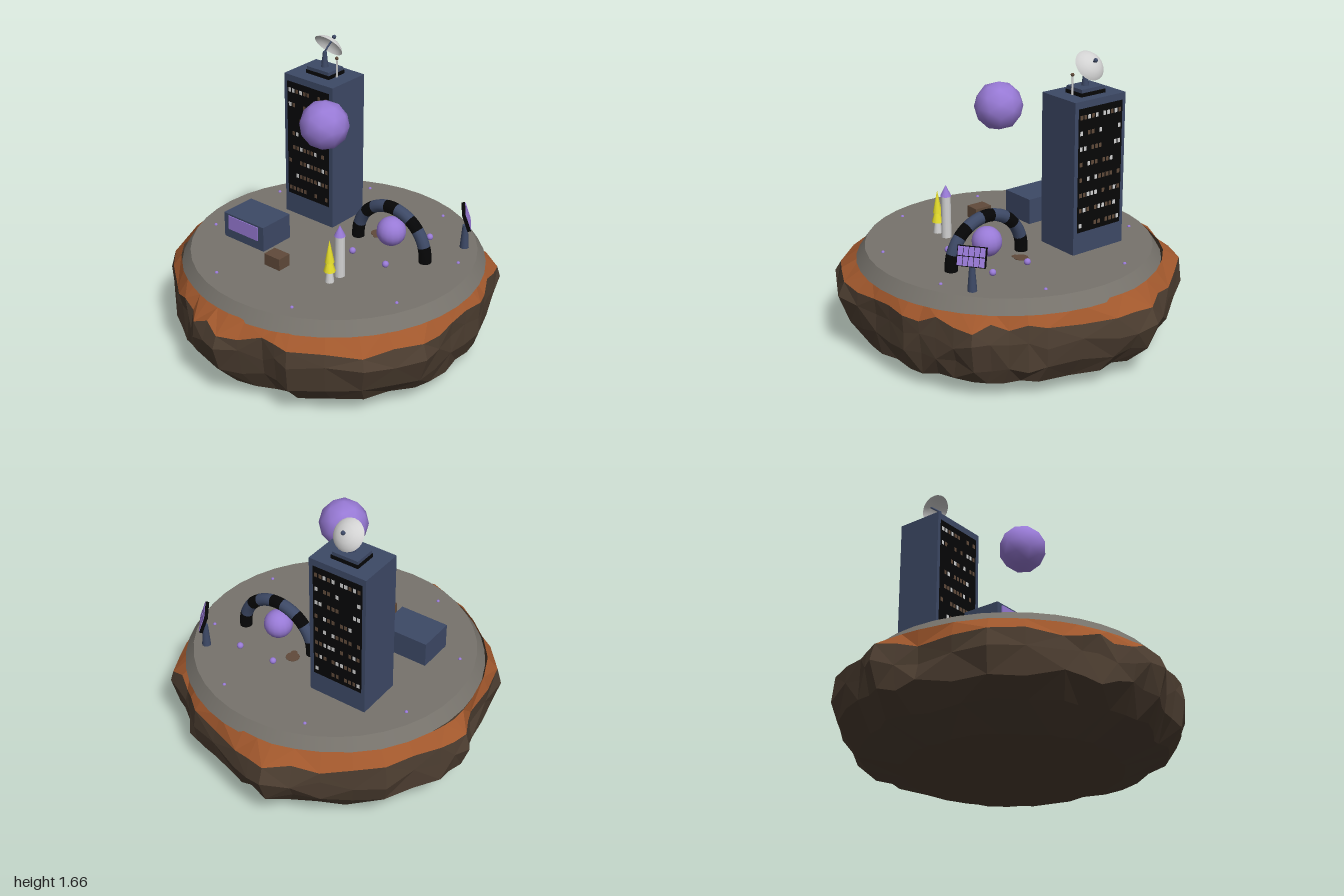
import * as THREE from 'three';
import { mergeVertices } from 'three/addons/utils/BufferGeometryUtils.js';

const mat = (name, color, extra = {}) => {
  const m = new THREE.MeshStandardMaterial({ color, ...extra });
  m.name = name;
  return m;
};

export function createModel() {
  const rock = mat('rock', 0x4d3e31, { flatShading: true, side: THREE.DoubleSide });
  const clay = mat('clay', 0xa0572c, { flatShading: true, side: THREE.DoubleSide });
  const stone = mat('stone', 0x77736c);
  const navy = mat('navy', 0x3d4966);
  const black = mat('black', 0x060607);
  const purple = mat('purple', 0x987ad6);
  const light = mat('lightGrey', 0xd2d2d2, { side: THREE.DoubleSide });
  const yellow = mat('yellow', 0xe6de2c);
  const brown = mat('brown', 0x604a3a);

  const model = new THREE.Group();
  let seed = 7;
  const rnd = () => (seed = (seed * 16807) % 2147483647) / 2147483647;
  const jitter = (amount) => (rnd() - .5) * 2 * amount;

  const add = (name, geo, material, x = 0, y = 0, z = 0, parent = model) => {
    const m = new THREE.Mesh(geo, material);
    m.name = name;
    m.position.set(x, y, z);
    parent.add(m);
    return m;
  };
  const box = (name, material, x0, x1, y0, y1, z0, z1, parent) =>
    add(name, new THREE.BoxGeometry(x1 - x0, y1 - y0, z1 - z0), material,
      (x0 + x1) / 2, (y0 + y1) / 2, (z0 + z1) / 2, parent);
  const post = (name, material, rTop, rBottom, x, y0, y1, z, sides = 12, parent = model) =>
    add(name, new THREE.CylinderGeometry(rTop, rBottom, y1 - y0, sides), material, x, (y0 + y1) / 2, z, parent);
  const ball = (name, material, r, x, y, z, parent) =>
    add(name, new THREE.SphereGeometry(r, 16, 12), material, x, y, z, parent);
  const orb = (name, material, r, x, y, z) => {
    const g = new THREE.IcosahedronGeometry(r, 1);
    g.deleteAttribute('uv');
    return add(name, mergeVertices(g), material, x, y, z);
  };

  // Floating rock: jittered rings following a rough outline (x, z)
  const corners = [
    [.89, .05], [.95, .34], [.78, .65], [.43, .86], [.26, .85], [.03, .99], [-.17, .94], [-.32, .82],
    [-.5, .74], [-.8, .49], [-.83, .08], [-.96, -.13], [-.87, -.28], [-.74, -.61], [-.45, -.81],
    [-.19, -1], [.03, -.94], [.41, -.82], [.57, -.7], [.75, -.62], [.82, -.4], [.89, -.21],
  ];
  const outline = corners.flatMap(([x, z], i) => {
    const [x2, z2] = corners[(i + 1) % corners.length];
    return [[x, z], [(x + x2) / 2, (z + z2) / 2]];
  });
  // y, base radius, share of outline, radial jitter, height jitter
  const rings = [
    [0, .555, .1, .02, 0], [.09, .76, .35, .02, .015], [.2, .88, .55, .02, .025],
    [.33, 1, 1, 0, .03], [.43, .89, .65, .015, .025], [.5, .84, .1, 0, 0],
  ].map(([y, base, share, jr, jy]) => outline.map(([x, z]) => {
    const r = Math.hypot(x, z);
    const s = (base + (r - base) * share + jitter(jr)) / r;
    return new THREE.Vector3(x * s + (y < .1 ? .04 : 0), y + jitter(jy), z * s);
  }));
  const shell = (from, to, cap) => {
    const pts = [];
    const n = outline.length;
    for (let i = 0; i < n; i++) {
      const k = (i + 1) % n;
      for (let j = from; j < to; j++) {
        const [a, b, c, d] = [rings[j][k], rings[j][i], rings[j + 1][i], rings[j + 1][k]];
        if ((i + j) % 2) pts.push(a, b, c, a, c, d);
        else pts.push(a, b, d, b, c, d);
      }
      if (cap) pts.push(new THREE.Vector3(.04, 0, 0), rings[0][i], rings[0][k]);
    }
    const g = new THREE.BufferGeometry().setFromPoints(pts);
    g.computeVertexNormals();
    return g;
  };
  add('rockBody', shell(0, 4, true), rock);
  add('clayRim', shell(4, 5, false), clay);

  // Stone platform with a ring of marker lights
  const cx = .027;
  post('platform', stone, .81, .86, cx, .485, .56, 0, 40);
  for (let i = 0; i < 8; i++) {
    const a = (i + .5) * Math.PI / 4;
    ball('markerLight', purple, .01, cx + .72 * Math.cos(a), .56, .72 * Math.sin(a));
  }

  // Tower with window walls front and back
  const tower = new THREE.Group();
  tower.name = 'tower';
  model.add(tower);
  box('towerBody', navy, -.457, -.1, .56, 1.43, -.41, -.135, tower);
  for (const [z, dir] of [[-.135, 1], [-.41, -1]]) {
    const wall = new THREE.Group();
    wall.name = 'windowWall';
    wall.position.set(-.28, 0, z);
    if (dir < 0) wall.rotation.y = Math.PI;
    tower.add(wall);
    box('windowPanel', black, -.155, .155, .685, 1.39, -.001, .0015, wall);
    for (let row = 0; row < 8; row++) {
      for (let col = 0; col < 11; col++) {
        const pick = rnd();
        if (pick > .7) continue;
        const x = (col - 5) * .027;
        const y = 1.34 - row * .088;
        box('window', pick < .24 ? light : brown, x - .009, x + .009, y - .012, y + .012, .001, .003, wall);
      }
    }
  }

  // Roof plinth, mast, dish and antenna
  box('roofPlinth', black, -.365, -.195, 1.43, 1.45, -.35, -.215);
  box('roofPlinthTop', navy, -.36, -.2, 1.45, 1.47, -.345, -.22);
  post('dishMast', navy, .011, .022, -.28, 1.46, 1.56, -.28);
  post('antenna', light, .005, .006, -.19, 1.43, 1.54, -.278, 8);
  ball('antennaTip', brown, .01, -.19, 1.542, -.278);
  const dish = new THREE.Group();
  dish.name = 'dish';
  dish.position.set(-.28, 1.585, -.312);
  dish.rotation.x = -Math.atan2(.79, .62);
  model.add(dish);
  const bowl = [[.089, 0], [.075, .018], [.05, .033], [.025, .041], [0, .044]]
    .map(([r, y]) => new THREE.Vector2(r, y));
  add('dishBowl', new THREE.LatheGeometry(bowl, 24), light, 0, 0, 0, dish);
  post('dishStick', navy, .005, .005, 0, -.035, .062, 0, 8, dish);
  ball('dishTip', navy, .012, 0, .062, 0, dish);

  // Low shop and crate
  box('shop', navy, -.51, -.21, .56, .71, .11, .33);
  box('shopWindow', purple, -.475, -.25, .615, .7, .329, .335);
  box('crate', brown, -.11, 0, .56, .63, .345, .43);

  // Rocket and tiered yellow spire
  post('rocketBody', light, .028, .03, .28, .56, .81, .25, 10);
  post('rocketNose', purple, 0, .032, .28, .805, .87, .25, 10);
  post('spireBase', light, .016, .026, .28, .56, .64, .335, 10);
  [[.034, .625, .74], [.027, .68, .815]].forEach(([r, y0, y1]) =>
    post('spireTier', yellow, 0, r, .28, y0, y1, .335, 8));

  // Banded archway with orbs: five dark bands, four wider navy ones
  const darkArc = Math.PI * .095;
  const navyArc = (Math.PI - 5 * darkArc) / 4;
  for (let i = 0; i < 9; i++) {
    const seg = add('archBand', new THREE.TorusGeometry(.238, .036, 12, 6, i % 2 ? navyArc : darkArc),
      i % 2 ? navy : black, .307, .58, -.166);
    seg.rotation.z = Math.ceil(i / 2) * darkArc + Math.floor(i / 2) * navyArc;
  }
  for (const s of [-1, 1]) {
    post('archFoot', black, .036, .036, .307 + s * .238, .56, .581, -.166);
    for (const z of [-.372, .033]) ball('smallOrb', purple, .019, .307 + s * .117, .588, z);
  }
  ball('archOrb', purple, .084, .306, .67, -.166);
  orb('floatingOrb', purple, .137, .03, 1.326, .085);

  // Flat stain on the platform
  post('stain', brown, .04, .04, .14, .558, .563, -.255, 14);
  post('stainDrop', brown, .02, .02, .155, .558, .563, -.222, 10);

  // Solar panel on a post
  post('solarPost', navy, .015, .026, .612, .56, .7, -.445);
  const panel = new THREE.Group();
  panel.name = 'solarPanel';
  panel.position.set(.614, .752, -.447);
  panel.rotation.set(-.33, 2.21, 0, 'YXZ');
  model.add(panel);
  box('solarFrame', black, -.078, .078, -.054, .054, -.01, .01, panel);
  for (let i = -2; i <= 2; i++) {
    for (const s of [-1, 1]) {
      add('solarCell', new THREE.BoxGeometry(.027, .048, .004), purple, i * .03, s * .026, .011, panel);
    }
  }
  return model;
}
